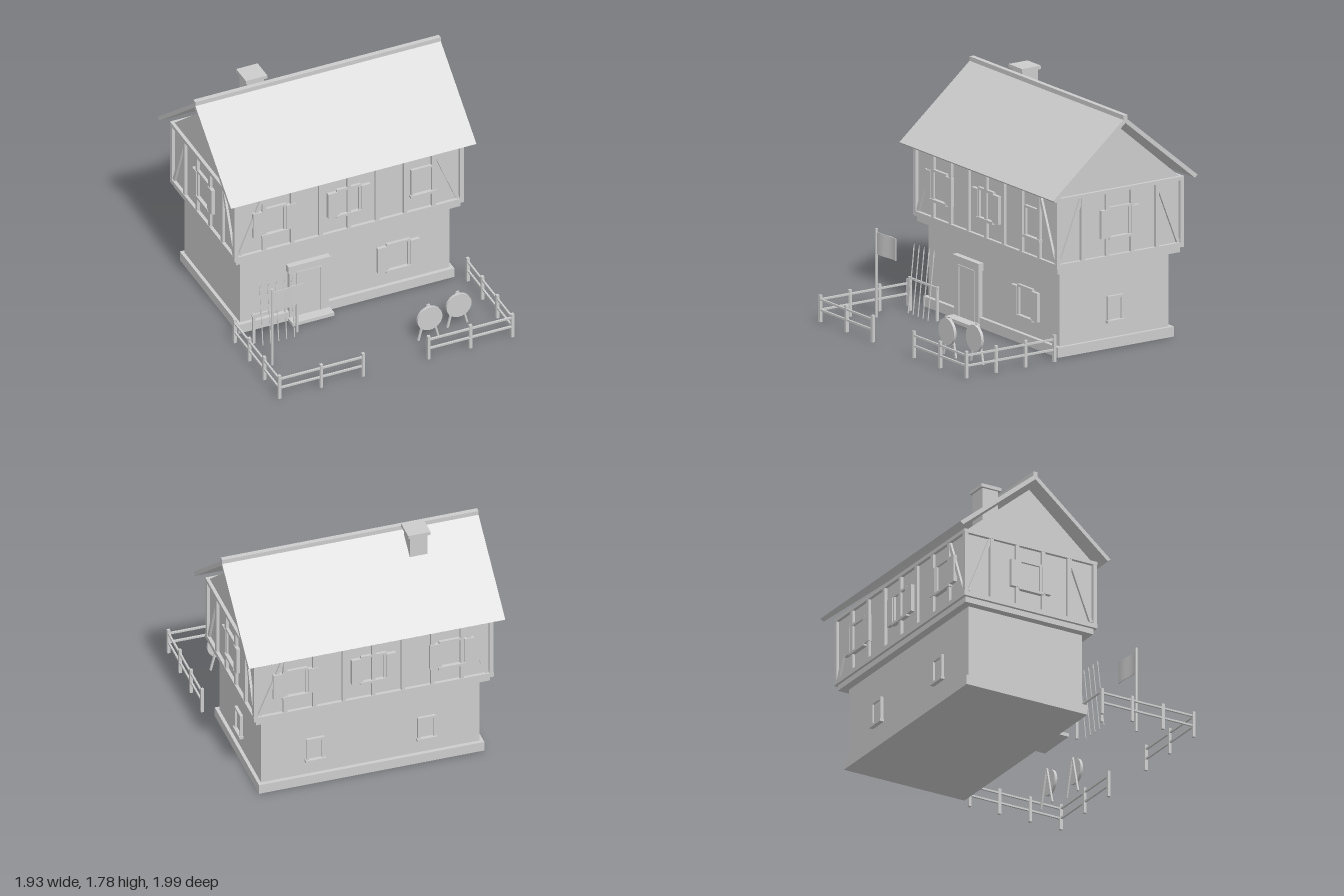
import * as THREE from 'three';

const plainGrey = new THREE.MeshStandardMaterial({ color: 0xcccccc });
plainGrey.name = 'plainGrey';
const ZC = -0.367; // centre line of the house in z

function add(parent, name, geo, x = 0, y = 0, z = 0) {
  const m = new THREE.Mesh(geo, plainGrey);
  m.name = name;
  m.position.set(x, y, z);
  parent.add(m);
  return m;
}
// Box given by its lower and upper limits
function box(parent, name, x0, x1, y0, y1, z0, z1) {
  return add(parent, name, new THREE.BoxGeometry(x1 - x0, y1 - y0, z1 - z0),
    (x0 + x1) / 2, (y0 + y1) / 2, (z0 + z1) / 2);
}
function group(parent, name, x = 0, y = 0, z = 0) {
  const g = new THREE.Group();
  g.name = name;
  g.position.set(x, y, z);
  parent.add(g);
  return g;
}
// Bar between two points, square or round
function bar(parent, name, a, b, w, sides = 0, d = w) {
  const p = new THREE.Vector3(...a), q = new THREE.Vector3(...b);
  const dir = q.clone().sub(p), len = dir.length();
  const geo = sides ? new THREE.CylinderGeometry(w / 2, w / 2, len, sides) : new THREE.BoxGeometry(w, len, d);
  const m = add(parent, name, geo);
  m.position.copy(p).add(q).multiplyScalar(0.5);
  m.quaternion.setFromUnitVectors(new THREE.Vector3(0, 1, 0), dir.normalize());
  return m;
}

// Framed window on a wall facing local +z at z = face
function windowUnit(parent, x, y0, y1, w, face, shutters) {
  const g = group(parent, 'window', x, 0, face);
  const h = w / 2, t = 0.018;
  box(g, 'pane', -h + t, h - t, y0 + t, y1 - t, -0.005, 0.006);
  for (const s of [-1, 1]) {
    box(g, 'jamb', s * h - (s > 0 ? t : 0), s * h + (s < 0 ? t : 0), y0, y1, -0.005, 0.022);
    if (shutters) {
      const a = s * (h + 0.002), b = s * (h + 0.072);
      box(g, 'shutter', Math.min(a, b), Math.max(a, b), y0 + 0.01, y1 - 0.015, 0, 0.028);
    }
  }
  box(g, 'head', -h + t, h - t, y1 - t, y1, -0.005, 0.022);
  box(g, 'sill', -h - 0.008, h + 0.008, y0 - 0.004, y0 + 0.016, -0.005, 0.032);
}

// Timber framing on one upper wall
function timberSide(parent, name, half, face, bays, angle, windows) {
  const g = group(parent, name);
  g.rotation.y = angle;
  const out = half + 0.025, step = (2 * out - 0.03) / bays;
  for (let i = 1; i < bays; i++) {
    const x = -out + 0.015 + i * step;
    box(g, 'post', x - 0.015, x + 0.015, 0.7, 1.175, face - 0.01, face + 0.022);
  }
  for (const s of [-1, 1]) {
    bar(g, 'brace', [s * (out - 0.045), 0.715, face + 0.006], [s * (out - 0.005 - step), 1.165, face + 0.006], 0.026, 0, 0.024);
  }
  for (const [x, shut] of windows) windowUnit(g, x, 0.83, 1.065, 0.19, face, shut);
}

function createModel() {
  const model = new THREE.Group();
  model.name = 'timberHouse';
  const house = group(model, 'house', 0, 0, ZC);

  // Ground floor
  box(house, 'plinth', -0.85, 0.85, 0, 0.075, -0.505, 0.505);
  box(house, 'lowerWalls', -0.825, 0.825, 0.075, 0.63, -0.475, 0.475);
  windowUnit(house, 0.415, 0.19, 0.43, 0.185, 0.475, true);
  const right = group(house, 'leftSideWindow');
  right.rotation.y = Math.PI / 2;
  windowUnit(right, 0, 0.19, 0.385, 0.135, 0.825, false);
  const back = group(house, 'backWindows');
  back.rotation.y = Math.PI;
  for (const x of [-0.42, 0.42]) windowUnit(back, x, 0.19, 0.385, 0.135, 0.475, false);

  // Door
  const door = group(house, 'door', -0.297, 0, 0.475);
  box(door, 'lintel', -0.165, 0.165, 0.42, 0.477, -0.01, 0.045);
  for (const s of [-1, 1]) box(door, 'doorJamb', s * 0.13 - 0.025, s * 0.13 + 0.025, 0.03, 0.42, -0.01, 0.036);
  box(door, 'doorLeaf', -0.105, 0.105, 0.03, 0.42, -0.01, 0.032);
  for (const s of [-1, 1]) box(door, 'doorTrim', s * 0.097 - 0.006, s * 0.097 + 0.006, 0.03, 0.41, 0.03, 0.04);
  box(door, 'doorTrim', -0.1, 0.1, 0.4, 0.412, 0.03, 0.04);
  box(door, 'step', -0.165, 0.165, 0, 0.027, 0.02, 0.11);

  // Overhanging upper floor
  box(house, 'jettyBeam', -0.883, 0.883, 0.63, 0.672, -0.535, 0.535);
  box(house, 'sillBeam', -0.905, 0.905, 0.672, 0.708, -0.555, 0.555);
  box(house, 'upperWalls', -0.88, 0.88, 0.7, 1.18, -0.53, 0.53);
  box(house, 'topPlate', -0.905, 0.905, 1.17, 1.198, -0.555, 0.555);
  for (const x of [-1, 1]) for (const z of [-1, 1]) {
    box(house, 'cornerPost', x * 0.888 - 0.016, x * 0.888 + 0.016, 0.7, 1.175, z * 0.538 - 0.016, z * 0.538 + 0.016);
  }
  timberSide(house, 'frontFraming', 0.88, 0.53, 8, 0, [[-0.59, true], [0, true], [0.585, false]]);
  timberSide(house, 'backFraming', 0.88, 0.53, 8, Math.PI, [[-0.59, true], [0, true], [0.59, true]]);
  timberSide(house, 'leftFraming', 0.53, 0.88, 5, Math.PI / 2, [[0, true]]);
  timberSide(house, 'rightFraming', 0.53, 0.88, 5, -Math.PI / 2, [[0, true]]);

  // Gable prism and roof slabs, extruded along x
  const along = (name, pts, halfLen) => {
    const shape = new THREE.Shape(pts.map(p => new THREE.Vector2(...p)));
    const geo = new THREE.ExtrudeGeometry(shape, { depth: 2 * halfLen, bevelEnabled: false });
    geo.translate(0, 0, -halfLen).rotateY(Math.PI / 2);
    return add(house, name, geo);
  };
  along('gable', [[-0.53, 1.196], [0.53, 1.196], [0, 1.645]], 0.88);
  for (const s of [-1, 1]) {
    along('roofSlope', [[0, 1.733], [s * 0.63, 1.21], [s * 0.605, 1.191], [0, 1.693]], 0.967);
  }
  box(house, 'ridgeBeam', -0.967, 0.967, 1.705, 1.752, -0.018, 0.018);

  // Chimney
  box(house, 'chimney', -0.53, -0.395, 1.45, 1.76, -0.18, -0.048);
  box(house, 'chimneyCap', -0.547, -0.378, 1.757, 1.783, -0.196, -0.03);

  // Fence, mirrored about the entrance
  const fence = group(model, 'fence');
  for (const s of [-1, 1]) {
    const posts = [[0.258, 0.985], [0.588, 0.985], [0.918, 0.985], [0.918, 0.727], [0.918, 0.47], [0.918, 0.22]];
    for (const [x, z] of posts) box(fence, 'fencePost', s * x - 0.011, s * x + 0.011, 0, 0.2, z - 0.011, z + 0.011);
    for (const y of [0.09, 0.167]) {
      bar(fence, 'fenceRail', [s * 0.258, y, 0.985], [s * 0.918, y, 0.985], 0.014);
      bar(fence, 'fenceRail', [s * 0.918, y, 0.985], [s * 0.918, y, 0.22], 0.014);
    }
  }

  // Banner on its pole
  bar(model, 'bannerPole', [-0.79, 0, 0.585], [-0.79, 0.66, 0.585], 0.02, 10);
  const cloth = new THREE.BoxGeometry(0.24, 0.165, 0.006, 12, 1, 1);
  const cp = cloth.attributes.position;
  for (let i = 0; i < cp.count; i++) cp.setZ(i, cp.getZ(i) + 0.006 * Math.sin((cp.getX(i) + 0.12) * 26));
  cloth.computeVertexNormals();
  add(model, 'banner', cloth, -0.664, 0.555, 0.585);

  // Spear rack
  const rack = group(model, 'spearRack');
  for (const x of [-0.8, -0.458]) box(rack, 'rackPost', x - 0.009, x + 0.009, 0, 0.255, 0.276, 0.296);
  bar(rack, 'rackRail', [-0.815, 0.243, 0.286], [-0.443, 0.243, 0.286], 0.014);
  for (let i = 0; i < 5; i++) {
    const x = -0.75 + i * 0.0625;
    bar(rack, 'spearShaft', [x, 0, 0.337], [x, 0.47, 0.287], 0.009, 8);
    const head = add(rack, 'spearHead', new THREE.ConeGeometry(0.008, 0.05, 4), x, 0.49, 0.285);
    head.rotation.x = -0.106;
  }

  // Archery targets on splayed legs
  for (const [x, z] of [[0.365, 0.767], [0.622, 0.707]]) {
    const t = group(model, 'target', x, 0, z);
    const disc = add(t, 'targetDisc', new THREE.CylinderGeometry(0.098, 0.098, 0.022, 28), 0, 0.187, 0);
    disc.rotation.x = Math.PI / 2;
    for (const s of [-1, 1]) bar(t, 'targetLeg', [s * 0.078, 0, -0.02], [s * 0.004, 0.292, -0.02], 0.014);
  }
  return model;
}

export { createModel };
